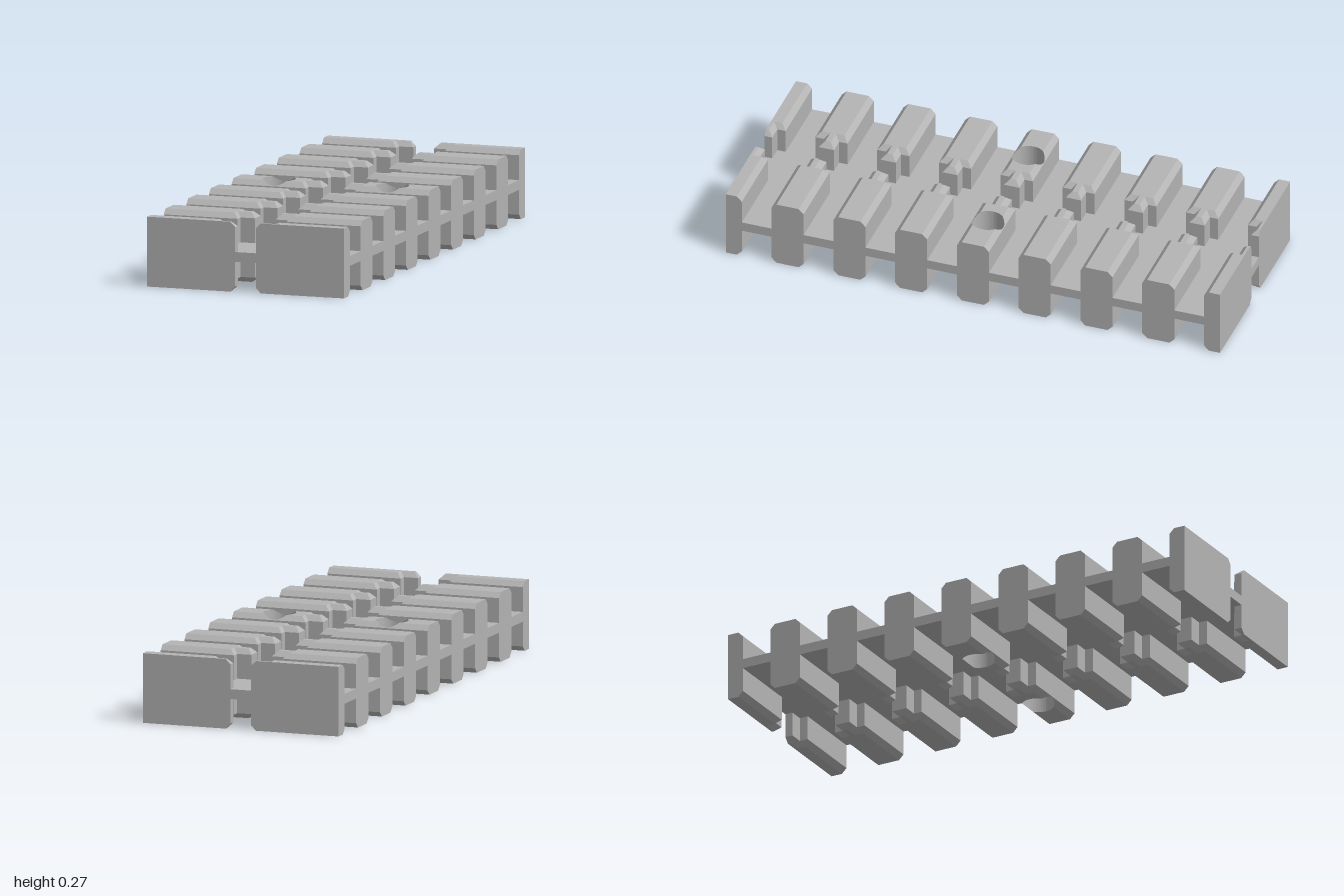
import * as THREE from 'three';
import { toCreasedNormals } from 'three/addons/utils/BufferGeometryUtils.js';

const H = 0.135;        // half height of the ribs
const W = 0.065;        // half width of a rib
const N = 0.031;        // half width of the neck at its inner end
const C = 0.02;         // chamfer
const END = 0.4, SHOULDER = 0.1, TIP = 0.042;
const HOLE_X = 0.23, HOLE_R = 0.063, SEG = 24;

// Capped solid through rings { t, pts: [[u, v], ...] } with rising t.
function loft(rings, toXYZ) {
  const pos = [];
  const flat = rings[0].pts.map(p => new THREE.Vector2(...p));
  if (THREE.ShapeUtils.isClockWise(flat)) {
    rings = rings.map(r => ({ t: r.t, pts: [...r.pts].reverse() }));
  }
  const put = (r, i) => pos.push(...toXYZ(...r.pts[i], r.t));
  const n = flat.length;
  for (let k = 0; k < rings.length - 1; k++) {
    const lo = rings[k], hi = rings[k + 1];
    for (let i = 0; i < n; i++) {
      const j = (i + 1) % n;
      put(lo, i); put(lo, j); put(hi, j);
      put(lo, i); put(hi, j); put(hi, i);
    }
  }
  const cap = (r, flip) => {
    const contour = r.pts.map(p => new THREE.Vector2(...p));
    for (const [a, b, c] of THREE.ShapeUtils.triangulateShape(contour, [])) {
      put(r, a); put(r, flip ? c : b); put(r, flip ? b : c);
    }
  };
  cap(rings[0], true);
  cap(rings[rings.length - 1], false);
  const g = new THREE.BufferGeometry();
  g.setAttribute('position', new THREE.Float32BufferAttribute(pos, 3));
  return toCreasedNormals(g, 0.5);
}

// Rib with a stepped neck, chamfered above and below; half = only its z > 0 side.
function ribGeometry(outer, half) {
  const outline = c => {
    const q = [[W - c, outer], [W - c, SHOULDER + c], [N - c, SHOULDER + c], [N - c, TIP + c]];
    return half
      ? [[0, outer], ...q, [0, TIP + c]]
      : [...q, ...[...q].reverse().map(([z, x]) => [-z, x])];
  };
  return loft([
    { t: -H, pts: outline(C) },
    { t: -H + C, pts: outline(0) },
    { t: H - C, pts: outline(0) },
    { t: H, pts: outline(C) },
  ], (z, x, y) => [x, y, z]);
}

// The z > 0 half of the outer rib, hollowed by the round hole.
function boredGeometry() {
  const top = z => H - Math.max(0, z - (W - C));
  const section = (x, s) => {
    const m = Math.max(s, W - C);
    return { t: x, pts: [[-top(s), s], [-top(m), m], [-H + C, W], [H - C, W], [top(m), m], [top(s), s]] };
  };
  const rings = [];
  for (let i = 0; i <= SEG; i++) {
    const a = Math.PI * i / SEG;
    rings.push(section(HOLE_X - HOLE_R * Math.cos(a), HOLE_R * Math.sin(a)));
  }
  rings.push(section(END, 0));
  return loft(rings, (y, z, x) => [x, y, z]);
}

// Thin web with two round holes.
function plateGeometry() {
  const thick = 0.038;
  const shape = new THREE.Shape([[-END, -1], [END, -1], [END, 1], [-END, 1]].map(p => new THREE.Vector2(...p)));
  for (const s of [-1, 1]) {
    shape.holes.push(new THREE.Path().absarc(s * HOLE_X, 0, HOLE_R, 0, Math.PI * 2, true));
  }
  const g = new THREE.ExtrudeGeometry(shape, { depth: thick, bevelEnabled: false, curveSegments: SEG * 2 });
  return g.translate(0, 0, -thick / 2).rotateX(-Math.PI / 2);
}

export function createModel() {
  const model = new THREE.Group();
  model.name = 'ribbedSpacer';
  const grey = new THREE.MeshStandardMaterial({ color: 0xb4b4b4 });
  grey.name = 'grey';

  const add = (parent, name, geometry) => {
    const mesh = new THREE.Mesh(geometry, grey);
    mesh.name = name;
    parent.add(mesh);
    return mesh;
  };
  add(model, 'plate', plateGeometry()).position.y = H;

  const fullRib = ribGeometry(END, false);
  const halfRib = ribGeometry(END, true);
  const innerRib = ribGeometry(HOLE_X - HOLE_R, false);
  const bored = boredGeometry();

  for (const side of [1, -1]) {
    const row = new THREE.Group();
    row.name = side > 0 ? 'leftRibs' : 'rightRibs';
    row.position.y = H;
    if (side < 0) row.rotation.y = Math.PI;
    model.add(row);
    for (let k = -4; k <= 4; k++) {
      if (Math.abs(k) === 4) {
        // end ribs are cut flush with the plate
        const rib = add(row, 'endRib', halfRib);
        rib.position.z = k * 0.25;
        if (k > 0) rib.rotation.x = Math.PI;
      } else if (k === 0) {
        // middle rib carries the hole
        add(row, 'middleRibNeck', innerRib);
        add(row, 'boredRibFront', bored);
        add(row, 'boredRibBack', bored).rotation.x = Math.PI;
      } else {
        add(row, 'rib', fullRib).position.z = k * 0.25;
      }
    }
  }
  return model;
}
